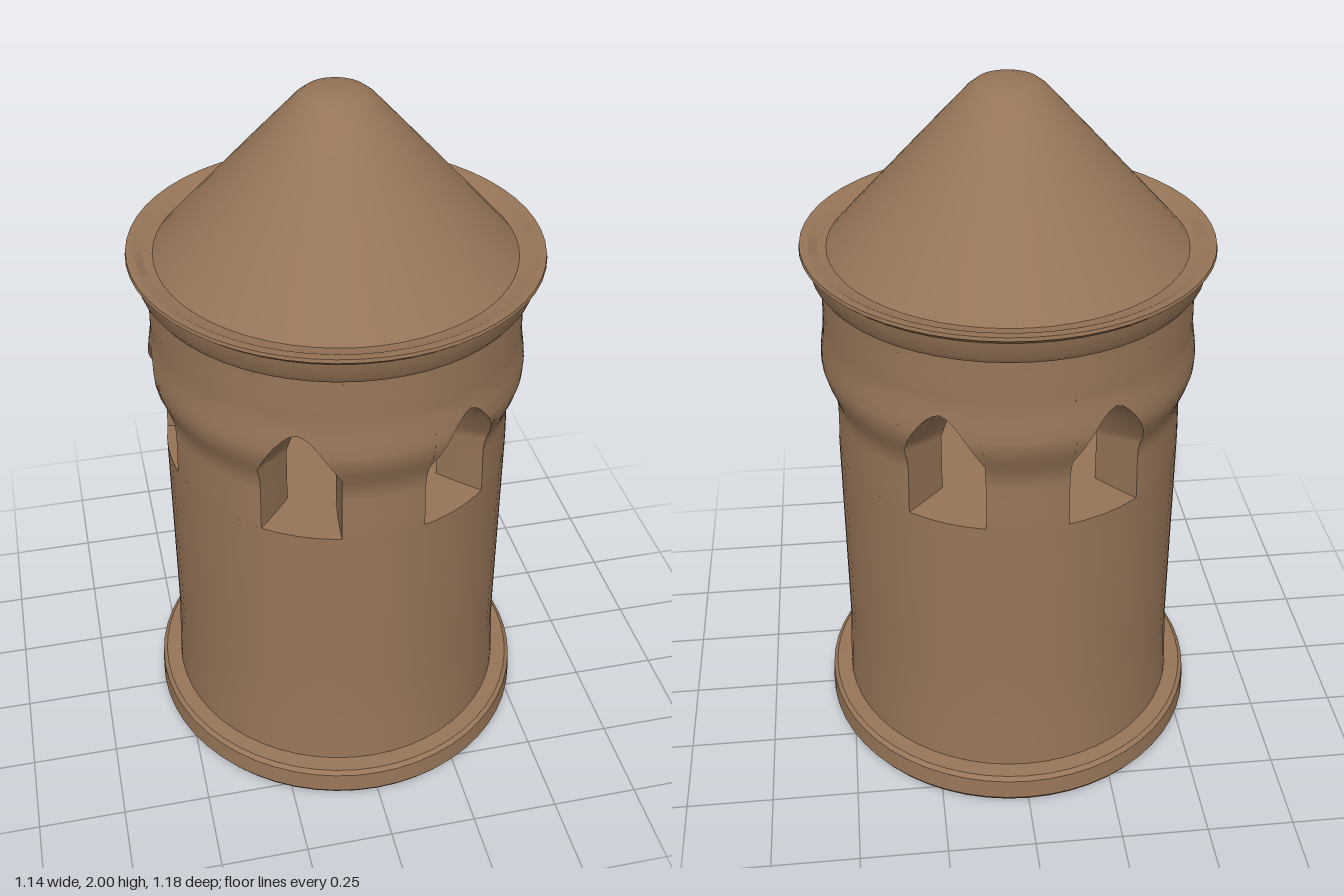
import * as THREE from 'three';
import { toCreasedNormals } from 'three/addons/utils/BufferGeometryUtils.js';
import { ParametricGeometry } from 'three/addons/geometries/ParametricGeometry.js';

const SILL = 0.935, WALL_TOP = 1.465, INNER_R = 0.36;
const STRETCH_X = 0.98, STRETCH_Z = 1.015; // the plan is slightly oval

// Window bearings in degrees from +x towards +z
const WINDOWS = [7, 61, 114, 180, 244, 296].map(d => d * Math.PI / 180);

// Opening on the outer and inner wall faces: half angle, spring and apex heights
const OUTER = { half: 0.225, spring: 1.14, apex: 1.29 };
const INNER = { half: 0.195, spring: 1.1, apex: 1.235 };

// Wall radius by height, swelling around the window heads
const WALL = [[0.06, 0.515], [0.3, 0.505], [0.935, 0.505], [1.08, 0.502], [1.22, 0.54], [1.34, 0.527], [1.47, 0.523]];
function wallRadius(y) {
  for (let i = 1; i < WALL.length; i++) {
    const [y0, r0] = WALL[i - 1], [y1, r1] = WALL[i];
    if (y <= y1) return THREE.MathUtils.lerp(r0, r1, THREE.MathUtils.smoothstep(y, y0, y1));
  }
  return WALL[WALL.length - 1][1];
}

const archHeight = (face, u) => face.spring + (face.apex - face.spring) * (1 - Math.abs(u) ** 1.7);

export function createModel() {
  const stone = new THREE.MeshStandardMaterial({ color: 0x967558 });
  stone.name = 'brown stone';
  const tower = new THREE.Group();
  tower.name = 'tower';

  function add(name, geometry) {
    const mesh = new THREE.Mesh(geometry, stone);
    mesh.name = name;
    tower.add(mesh);
  }
  function lathe(name, profile) {
    const g = new THREE.LatheGeometry(profile.map(p => new THREE.Vector2(...p)), 56);
    g.scale(STRETCH_X, 1, STRETCH_Z);
    add(name, toCreasedNormals(g, 0.55));
  }
  // Surface given as (u, v) -> [bearing, radius, height]
  function surface(name, fn, slices, stacks) {
    add(name, new ParametricGeometry((u, v, target) => {
      const [a, r, y] = fn(u, v);
      target.set(r * Math.cos(a) * STRETCH_X, y, r * Math.sin(a) * STRETCH_Z);
    }, slices, stacks));
  }
  // Curved wall patch between two bearings, rising from a bottom edge to the wall top
  function patch(name, from, to, bottom, inside) {
    surface(name, (u, v) => {
      const t = inside ? u : 1 - u; // runs the other way to face inwards
      const y = THREE.MathUtils.lerp(bottom(t), WALL_TOP, v);
      return [THREE.MathUtils.lerp(from, to, t), inside ? INNER_R : wallRadius(y), y];
    }, 12, 16);
  }

  // Foot slab
  lathe('foot', [[0, 0], [0.565, 0], [0.575, 0.015], [0.572, 0.075], [0.56, 0.085], [0.49, 0.09]]);

  // Solid drum with the room floor on top
  const drum = [];
  for (let i = 0; i <= 8; i++) {
    const y = 0.07 + (SILL - 0.07) * i / 8;
    drum.push([wallRadius(y), y]);
  }
  lathe('drum', [...drum, [0, SILL]]);

  // Window storey: piers, the wall above each arch, and the flared reveals
  WINDOWS.forEach((bearing, i) => {
    const next = i + 1 < WINDOWS.length ? WINDOWS[i + 1] : WINDOWS[0] + Math.PI * 2;
    for (const [face, inside] of [[OUTER, false], [INNER, true]]) {
      const side = inside ? 'Inside' : 'Outside';
      patch('pier' + side, bearing + face.half, next - face.half, () => SILL, inside);
      patch('archWall' + side, bearing - face.half, bearing + face.half,
        t => archHeight(face, 2 * t - 1), inside);
    }
    surface('windowReveal', (depth, s) => {
      // Follow the outline up one jamb, over the arch and down the other
      const across = THREE.MathUtils.clamp(s * 4 - 2, -1, 1);
      const rise = Math.min(1, 4 * Math.min(s, 1 - s));
      const [o, n] = [OUTER, INNER].map(face => {
        const y = THREE.MathUtils.lerp(SILL, archHeight(face, across), rise);
        return [bearing - across * face.half, face === OUTER ? wallRadius(y) : INNER_R, y];
      });
      return o.map((value, k) => THREE.MathUtils.lerp(value, n[k], depth));
    }, 4, 32);
  });

  // Eaves ring with a shallow gutter, closed underneath as the room ceiling
  lathe('eaves', [[0, 1.46], [0.5, 1.46], [0.54, 1.468], [0.552, 1.485], [0.562, 1.535],
    [0.58, 1.55], [0.578, 1.56], [0.555, 1.56], [0.53, 1.545], [0.49, 1.545]]);

  // Conical roof with a blunt tip
  lathe('roof', [[0.51, 1.54], [0.4, 1.66], [0.25, 1.823], [0.11, 1.973], [0.085, 1.992], [0.05, 1.999], [0, 2]]);

  return tower;
}
